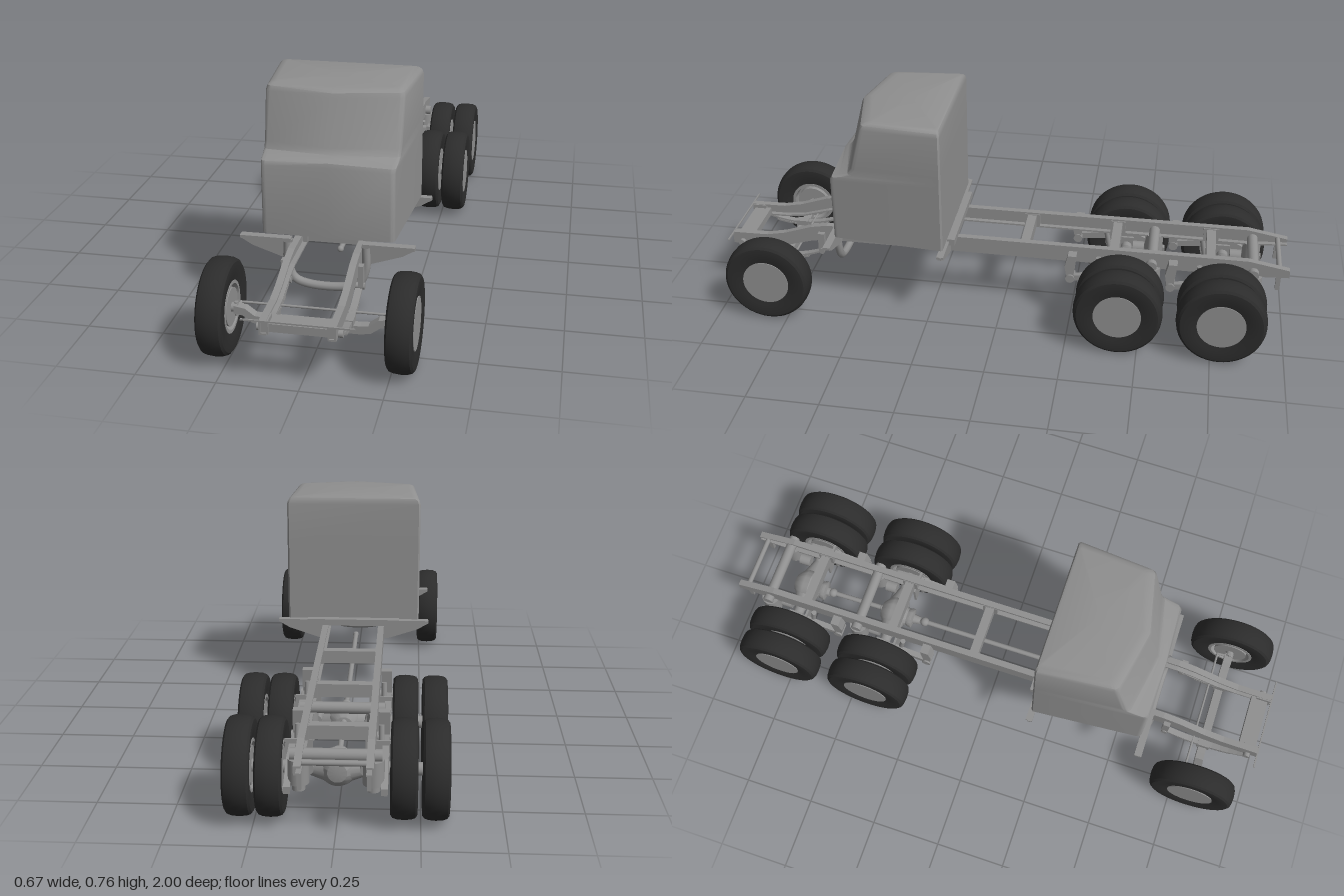
import * as THREE from 'three';
import { toCreasedNormals } from 'three/addons/utils/BufferGeometryUtils.js';

const grey = new THREE.MeshStandardMaterial({ color: 0x909090 });
const rubber = new THREE.MeshStandardMaterial({ color: 0x2c2c2c });
const V = (x, y, z) => new THREE.Vector3(x, y, z);

export function createModel() {
  const model = new THREE.Group();
  const add = (name, geo, x = 0, y = 0, z = 0, mat = grey, parent = model) => {
    const m = new THREE.Mesh(geo, mat);
    m.name = name;
    m.position.set(x, y, z);
    parent.add(m);
    return m;
  };
  const box = (name, w, h, d, x, y, z) => add(name, new THREE.BoxGeometry(w, h, d), x, y, z);
  const rod = (name, a, b, r, r2 = r) => {
    const dir = b.clone().sub(a);
    const m = add(name, new THREE.CylinderGeometry(r2, r, dir.length(), 16));
    m.position.copy(a).addScaledVector(dir, 0.5);
    m.quaternion.setFromUnitVectors(V(0, 1, 0), dir.normalize());
    return m;
  };
  const extrude = (pts, depth) => new THREE.ExtrudeGeometry(
    new THREE.Shape(pts.map(p => new THREE.Vector2(p[0], p[1]))), { depth, bevelEnabled: false }
  ).translate(0, 0, -depth / 2);
  // plate drawn in (z, y), thick along x
  const sidePlate = (name, pts, w, x) => add(name, extrude(pts, w).rotateY(-Math.PI / 2), x + w / 2 - w / 2);
  // plate drawn in (x, y), thick along z
  const crossPlate = (name, pts, d, z) => add(name, extrude(pts, d), 0, 0, z);

  // cab
  add('cab', cabGeometry());

  // wheels
  const lathe = pts => toCreasedNormals(new THREE.LatheGeometry(pts.map(p => new THREE.Vector2(p[0], p[1])), 48), 0.5);
  const tyreGeo = lathe([[0.081, -0.034], [0.1, -0.038], [0.125, -0.041], [0.139, -0.04], [0.147, -0.034], [0.151, -0.022],
    [0.153, 0], [0.151, 0.022], [0.147, 0.034], [0.139, 0.04], [0.125, 0.041], [0.1, 0.038], [0.081, 0.034]]);
  const rimGeo = lathe([[0, -0.004], [0.068, -0.004], [0.072, -0.036], [0.082, -0.036], [0.082, 0.037], [0, 0.037]]);
  const wheel = (name, s, x, z) => {
    const g = new THREE.Group();
    g.name = name;
    g.position.set(s * x, 0.153, z);
    g.rotation.z = -s * Math.PI / 2;
    add('tyre', tyreGeo, 0, 0, 0, rubber, g);
    add('rim', rimGeo, 0, 0, 0, grey, g);
    add('brakeDrum', new THREE.CylinderGeometry(0.06, 0.06, 0.03, 32), 0, -0.019, 0, grey, g);
    model.add(g);
  };

  // chassis rail profile: [z, top y, bottom y]
  const rail = [[1, 0.22, 0.175], [0.87, 0.222, 0.176], [0.8, 0.236, 0.183], [0.7, 0.27, 0.212], [0.64, 0.281, 0.222],
    [-0.86, 0.283, 0.222], [-1, 0.258, 0.23]];
  const band = (lo, hi) => [...rail.map(p => [p[0], hi(p)]), ...rail.map(p => [p[0], lo(p)]).reverse()];
  const axles = [-0.428, -0.778];

  for (const s of [-1, 1]) {
    wheel('frontWheel', s, 0.283, 0.812);
    for (const z of axles) {
      wheel('rearOuterWheel', s, 0.294, z);
      wheel('rearInnerWheel', s, 0.199, z);
    }

    // C-section rails
    sidePlate('railWeb', band(p => p[2], p => p[1]), 0.006, s * 0.111);
    sidePlate('railTopFlange', band(p => p[1] - 0.006, p => p[1]), 0.022, s * 0.103);
    sidePlate('railBottomFlange', band(p => p[2], p => p[2] + 0.006), 0.022, s * 0.103);
    box('rearTab', 0.012, 0.06, 0.016, s * 0.1, 0.202, -0.965);
    box('railNose', 0.026, 0.044, 0.05, s * 0.1, 0.197, 0.97);

    // cab support wings
    const wing = (z, d) => crossPlate('cabWing', [[0.112, 0.29], [0.28, 0.296], [0.28, 0.286], [0.24, 0.262], [0.13, 0.225], [0.112, 0.225]]
      .map(p => [s * p[0], p[1]]), d, z);
    wing(0.592, 0.014);
    wing(0.19, 0.012);
    box('wingTop', 0.165, 0.01, 0.026, s * 0.197, 0.291, 0.592);
    box('wingTop', 0.165, 0.008, 0.024, s * 0.195, 0.292, 0.19);

    // front leaf springs and shackles
    for (let i = 0; i < 2; i++) {
      const l = 0.15 - i * 0.05, n = 10, top = [], bottom = [];
      for (let k = 0; k <= n; k++) {
        const t = -l + 2 * l * k / n, y = 0.15 + 1.4 * t * t - i * 0.008;
        top.push([0.812 + t, y]);
        bottom.unshift([0.812 + t, y - 0.007]);
      }
      sidePlate('leafSpring', [...top, ...bottom], 0.022, s * 0.116);
    }
    box('springHanger', 0.016, 0.07, 0.024, s * 0.122, 0.218, 0.66);
    rod('springEye', V(s * 0.1, 0.182, 0.66), V(s * 0.134, 0.182, 0.66), 0.011);
    rod('springEye', V(s * 0.098, 0.184, 0.965), V(s * 0.128, 0.184, 0.965), 0.012);
    box('springClamp', 0.028, 0.03, 0.045, s * 0.116, 0.139, 0.812);

    // steering knuckle
    rod('kingPin', V(s * 0.235, 0.125, 0.812), V(s * 0.235, 0.172, 0.812), 0.006);
    rod('stubAxle', V(s * 0.23, 0.153, 0.812), V(s * 0.28, 0.153, 0.812), 0.015);
    rod('steeringArm', V(s * 0.235, 0.15, 0.812), V(s * 0.232, 0.15, 0.77), 0.005);

    // rear suspension: hanger, trailing arm, air bag and damper for each axle
    for (const z of axles) {
      sidePlate('hanger', [[z + 0.16, 0.265], [z + 0.19, 0.265], [z + 0.2, 0.22], [z + 0.19, 0.165], [z + 0.17, 0.165]], 0.036, s * 0.134);
      rod('armPivot', V(s * 0.112, 0.175, z + 0.18), V(s * 0.158, 0.175, z + 0.18), 0.016);
      sidePlate('trailingArm', [[z + 0.185, 0.184], [z + 0.05, 0.205], [z - 0.04, 0.2], [z - 0.14, 0.152], [z - 0.14, 0.13],
        [z - 0.05, 0.172], [z + 0.04, 0.178], [z + 0.185, 0.164]], 0.02, s * 0.142);
      box('axleClamp', 0.03, 0.08, 0.05, s * 0.138, 0.15, z);
      rod('airBag', V(s * 0.11, 0.15, z - 0.1), V(s * 0.11, 0.228, z - 0.1), 0.032);
      rod('airBagPiston', V(s * 0.11, 0.128, z - 0.1), V(s * 0.11, 0.151, z - 0.1), 0.02);
      rod('damper', V(s * 0.13, 0.12, z + 0.06), V(s * 0.128, 0.255, z + 0.085), 0.009);
      crossPlate('axleGusset', [[0.08, 0.22], [0.165, 0.22], [0.165, 0.176], [0.105, 0.137], [0.08, 0.137]]
        .map(p => [s * p[0], p[1]]), 0.008, z + 0.05);
      rod('brakeChamber', V(s * 0.09, 0.175, z - 0.025), V(s * 0.09, 0.175, z - 0.065), 0.022);
    }
  }

  // crossmembers, flared where they meet the rails
  for (const z of [0.45, -0.08, -0.395, -0.73]) {
    box('crossmember', 0.19, 0.045, 0.032, 0, 0.25, z);
    for (const s of [-1, 1]) box('crossmemberFoot', 0.016, 0.05, 0.055, s * 0.098, 0.25, z);
  }
  rod('rearCrossTube', V(-0.1, 0.255, -0.965), V(0.1, 0.255, -0.965), 0.009);
  box('frontCrossmember', 0.19, 0.026, 0.06, 0, 0.193, 0.957);
  box('frontLip', 0.336, 0.005, 0.005, 0, 0.2185, 0.9975);
  box('cabRearMount', 0.34, 0.024, 0.026, 0, 0.292, 0.172);
  const hoop = new THREE.CatmullRomCurve3([[-0.125, 0.285], [-0.125, 0.21], [-0.105, 0.16], [-0.06, 0.142], [0.06, 0.142],
    [0.105, 0.16], [0.125, 0.21], [0.125, 0.285]].map(p => V(p[0], p[1], 0.597)), false, 'centripetal');
  add('hoopCrossmember', new THREE.TubeGeometry(hoop, 40, 0.014, 10));

  // front axle: dropped beam and tie rod
  const beamTop = [[-0.24, 0.164], [-0.205, 0.158], [-0.175, 0.136], [-0.15, 0.134]];
  const beamBottom = [[-0.24, 0.138], [-0.212, 0.134], [-0.182, 0.112], [-0.15, 0.107]];
  const mirror = pts => pts.map(p => [-p[0], p[1]]).reverse();
  crossPlate('frontAxle', [...beamBottom, ...mirror(beamBottom), ...mirror(mirror(mirror(beamTop))).reverse(), ...beamTop.slice().reverse()],
    0.03, 0.812);
  rod('tieRod', V(-0.234, 0.15, 0.77), V(0.234, 0.15, 0.77), 0.004);

  // rear axles with differentials
  const diffGeo = lathe([[0, -0.055], [0.03, -0.05], [0.05, -0.032], [0.06, -0.01], [0.06, 0.01], [0.045, 0.025], [0.032, 0.05],
    [0.036, 0.06], [0.036, 0.07], [0.018, 0.075], [0.014, 0.1], [0, 0.1]]);
  for (const z of axles) {
    rod('rearAxle', V(-0.3, 0.153, z), V(0.3, 0.153, z), 0.02);
    for (const s of [-1, 1]) rod('axleFlare', V(s * 0.03, 0.153, z), V(s * 0.1, 0.153, z), 0.045, 0.02);
    add('differential', diffGeo, 0, 0.155, z).rotation.x = Math.PI / 2;
    rod('airBagCrossTube', V(-0.135, 0.24, z - 0.1), V(0.135, 0.24, z - 0.1), 0.019);
  }

  // drive shafts with joints
  const shaft = (z0, z1) => {
    rod('driveShaft', V(0, 0.168, z0), V(0, 0.16, z1), 0.009);
    add('shaftJoint', new THREE.SphereGeometry(0.011, 16, 12), 0, 0.168, z0);
    add('shaftJoint', new THREE.SphereGeometry(0.017, 16, 12), 0, 0.16, z1);
  };
  shaft(0.385, -0.31);
  shaft(-0.48, -0.68);

  return model;
}

// cab shell: horizontal rings with a tapered plan, flat lower front and V-shaped upper front
function cabGeometry() {
  const back = 0.187;
  // [y, front centre z, sweep of the corners, inset, drop of the corners]
  const levels = [[0.3, 0.587, 0.004, 0, 0], [0.535, 0.587, 0.004, 0, 0.006], [0.55, 0.584, 0.009, 0, 0.008],
    [0.557, 0.57, 0.024, 0, 0.008], [0.567, 0.556, 0.04, 0, 0.007], [0.586, 0.547, 0.045, 0, 0.004], [0.735, 0.509, 0.045, 0, 0],
    [0.75, 0.502, 0.045, 0.005, 0], [0.757, 0.49, 0.045, 0.014, 0], [0.76, 0.472, 0.045, 0.03, 0]];
  const rings = levels.map(([y, zc, sweep, inset, drop]) => {
    const w = z => 0.243 - 0.031 * (z - back) / 0.395 - inset;
    const zb = back + inset * 0.4, zk = zc - sweep, r = 0.016;
    const a = [w(zk) - r, zk + sweep * r / w(zk)], c = [w(zk - r), zk - r], k = [w(zk), zk];
    const half = [[0, zc, y]];
    for (let i = 0; i <= 5; i++) {
      const t = i / 5, q = j => (1 - t) ** 2 * a[j] + 2 * t * (1 - t) * k[j] + t * t * c[j];
      half.push([q(0), q(1), y - drop]);
    }
    half.push([w(zb), zb + 0.006, y], [w(zb) - 0.006, zb, y]);
    const mirrored = half.slice(1).reverse().map(p => [-p[0], p[1], p[2]]);
    return [...half, ...mirrored].map(p => [p[0], p[2], p[1]]);
  });
  const pos = [], n = rings[0].length;
  const tri = (...pts) => pts.forEach(p => pos.push(...p));
  const last = rings[rings.length - 1], mid = y => [0, y, 0.33];
  for (let j = 0; j < n; j++) {
    const k = (j + 1) % n;
    for (let i = 0; i + 1 < rings.length; i++) {
      const lo = rings[i], hi = rings[i + 1];
      tri(lo[j], lo[k], hi[k]);
      tri(lo[j], hi[k], hi[j]);
    }
    tri(mid(0.76), last[j], last[k]);
    tri(mid(0.3), rings[0][k], rings[0][j]);
  }
  const g = new THREE.BufferGeometry();
  g.setAttribute('position', new THREE.Float32BufferAttribute(pos, 3));
  return toCreasedNormals(g, 0.6);
}
